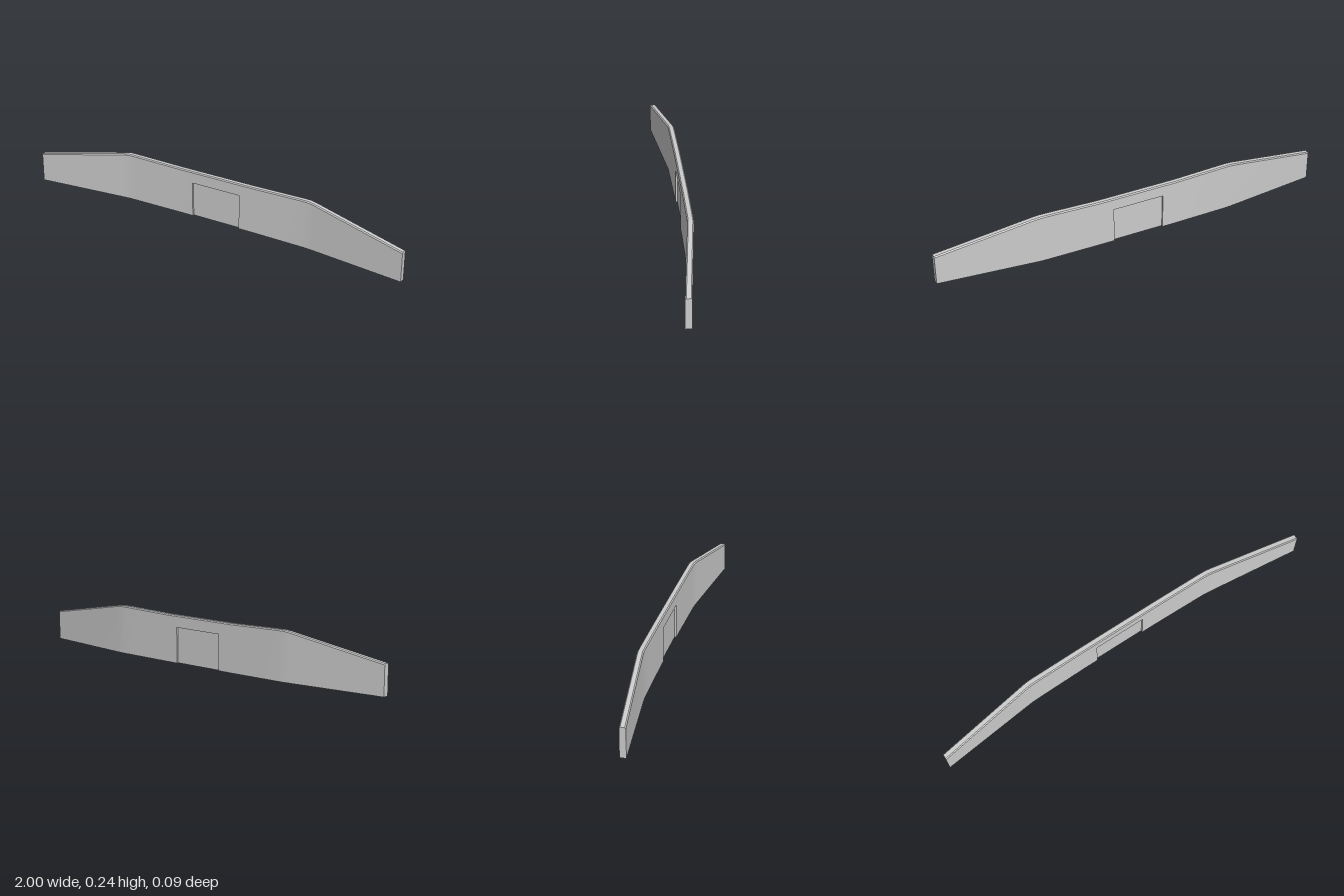
import * as THREE from 'three';
import { toCreasedNormals } from 'three/addons/utils/BufferGeometryUtils.js';

const THICK = 0.03, CHAMFER = 0.005, DOOR_HALF = 0.13, DOOR_TOP = 0.175;

// Half of the bent wall: x, back z, top y
const STATIONS = [
  [DOOR_HALF, -0.044, 0.234], [0.2, -0.044, 0.234], [0.46, -0.04, 0.24],
  [0.5, -0.039, 0.24], [0.53, -0.036, 0.236], [1, 0.017, 0.147],
];

// Wall cross-section with a chamfered top, in the z-y plane
function section([x, back, top], bottom) {
  const front = back + THICK;
  return [
    [x, bottom, back], [x, bottom, front], [x, top - CHAMFER, front],
    [x, top, front - CHAMFER], [x, top, back + CHAMFER], [x, top - CHAMFER, back],
  ];
}

// Skin the sections, which run from -x to +x
function wallGeometry(stations, bottom, capped) {
  const rings = stations.map((s) => section(s, bottom));
  const pos = [];
  const tri = (a, b, c) => pos.push(...a, ...b, ...c);
  for (let i = 0; i < rings.length - 1; i++) {
    const a = rings[i], b = rings[i + 1];
    for (let j = 0; j < a.length; j++) {
      const k = (j + 1) % a.length;
      tri(a[j], b[j], b[k]);
      tri(a[j], b[k], a[k]);
    }
  }
  if (capped) {
    const s = rings[0], e = rings[rings.length - 1];
    for (let j = 1; j < s.length - 1; j++) {
      tri(s[0], s[j], s[j + 1]);
      tri(e[0], e[j + 1], e[j]);
    }
  }
  const geo = new THREE.BufferGeometry();
  geo.setAttribute('position', new THREE.Float32BufferAttribute(pos, 3));
  return toCreasedNormals(geo, 0.5);
}

export function createModel() {
  const group = new THREE.Group();
  group.name = 'bentWall';
  const material = new THREE.MeshStandardMaterial({ color: 0xcccccc });
  const add = (name, geo) => {
    const mesh = new THREE.Mesh(geo, material);
    mesh.name = name;
    group.add(mesh);
    return mesh;
  };

  // Wings either side of the doorway
  const mirrored = STATIONS.map(([x, z, y]) => [-x, z, y]).reverse();
  add('leftWing', wallGeometry(STATIONS, 0, true));
  add('rightWing', wallGeometry(mirrored, 0, true));

  // Lintel over the doorway
  const [, back, top] = STATIONS[0];
  add('lintel', wallGeometry([[-DOOR_HALF, back, top], [DOOR_HALF, back, top]], DOOR_TOP, false));

  // Thin door panel, recessed from both faces
  const door = add('doorPanel', new THREE.BoxGeometry(2 * DOOR_HALF, DOOR_TOP, 0.012));
  door.position.set(0, DOOR_TOP / 2, back + THICK / 2);

  return group;
}
